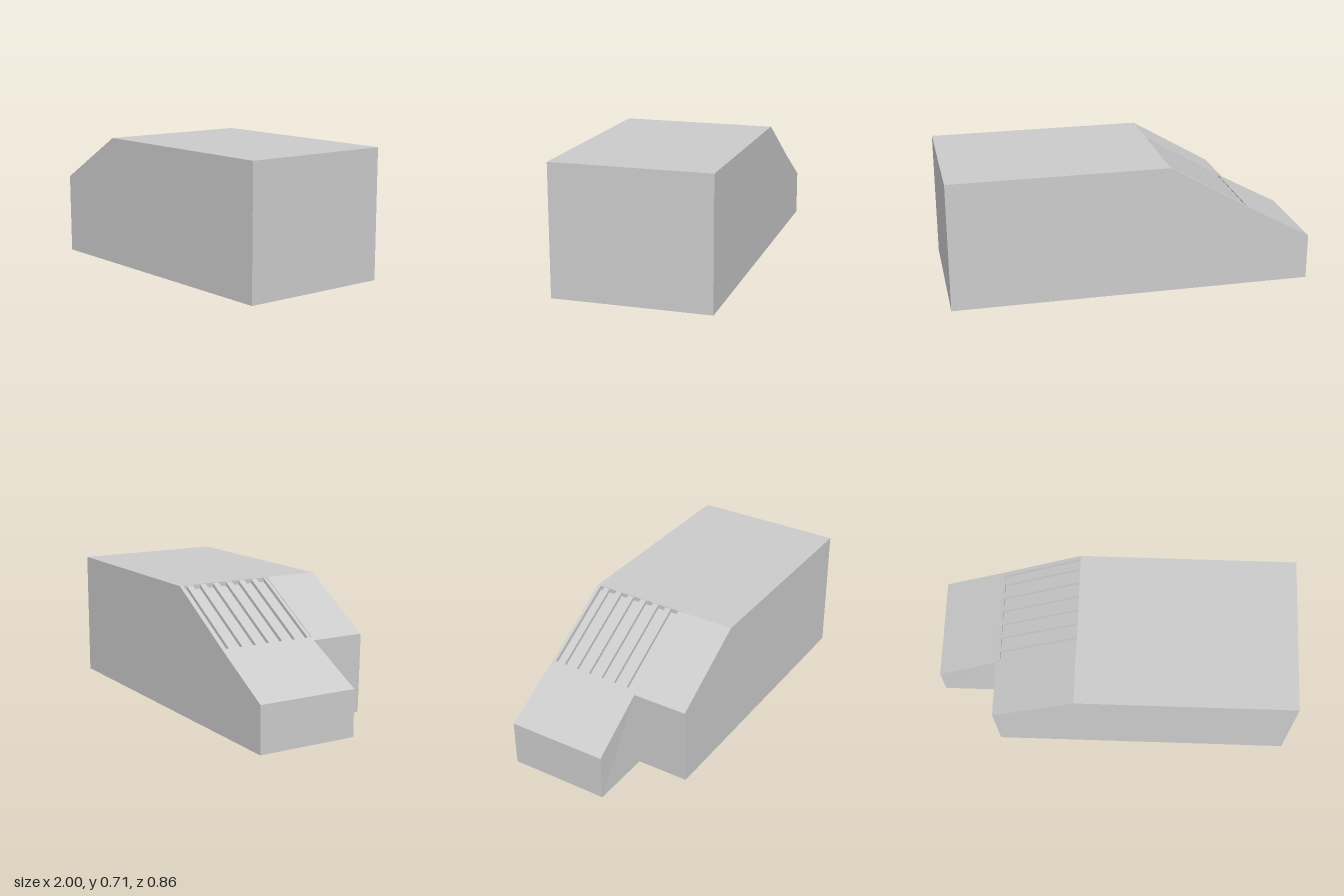
import * as THREE from 'three';

const HEIGHT = 0.713;
const material = new THREE.MeshStandardMaterial({ color: 0xcccccc, flatShading: true });

// Side profile (x, y) extruded between two z positions
function slab(name, points, z0, z1) {
  const shape = new THREE.Shape(points.map(([x, y]) => new THREE.Vector2(x, y)));
  const geometry = new THREE.ExtrudeGeometry(shape, { depth: z1 - z0, bevelEnabled: false });
  geometry.translate(0, 0, z0);
  const mesh = new THREE.Mesh(geometry, material);
  mesh.name = name;
  return mesh;
}

// Height of the sloped face at x
const slopeY = (x) => 0.443 + (x + 0.66) * (HEIGHT - 0.443) / 0.46;

export function createModel() {
  const group = new THREE.Group();
  const back = -0.43, front = 0.43, panelBack = -0.41, panelFront = 0.12;
  const low = -0.637, high = -0.197, depth = 0.026;

  // Full-height block and the thin rim behind the ribbed panel
  const full = [[-0.65, 0], [1, 0], [1, HEIGHT], [-0.2, HEIGHT], [-0.66, 0.443]];
  group.add(slab('frontBlock', full, panelFront, front));
  group.add(slab('rearRim', full, back, panelBack));

  // Middle of the body with a shallow recess in the slope
  group.add(slab('recessedBlock', [
    [-0.65, 0], [1, 0], [1, HEIGHT], [high, HEIGHT],
    [high, slopeY(high) - depth], [low, slopeY(low) - depth],
    [low, slopeY(low)], [-0.66, 0.443],
  ], panelBack, panelFront));

  // Parallel ribs running down the recess
  const ribProfile = [
    [low, slopeY(low) - depth], [high, slopeY(high) - depth],
    [high, slopeY(high) - 0.004], [low, slopeY(low) - 0.004],
  ];
  for (let i = 0; i < 7; i++) {
    const z = -0.387 + i * 0.0812;
    group.add(slab('rib', ribProfile, z, Math.min(z + 0.035, panelFront)));
  }

  // Low nose, its top narrowing slightly towards the body
  const nose = new THREE.BoxGeometry(1, 1, 1);
  const p = nose.attributes.position;
  for (let i = 0; i < p.count; i++) {
    const inner = p.getX(i) > 0, top = p.getY(i) > 0, near = p.getZ(i) > 0;
    p.setXYZ(i,
      inner ? (top ? -0.66 : -0.65) : -1,
      top ? (inner ? 0.443 : 0.255) : 0,
      near ? (inner && top ? 0.12 : 0.135) : back);
  }
  nose.computeVertexNormals();
  const noseMesh = new THREE.Mesh(nose, material);
  noseMesh.name = 'nose';
  group.add(noseMesh);

  return group;
}
